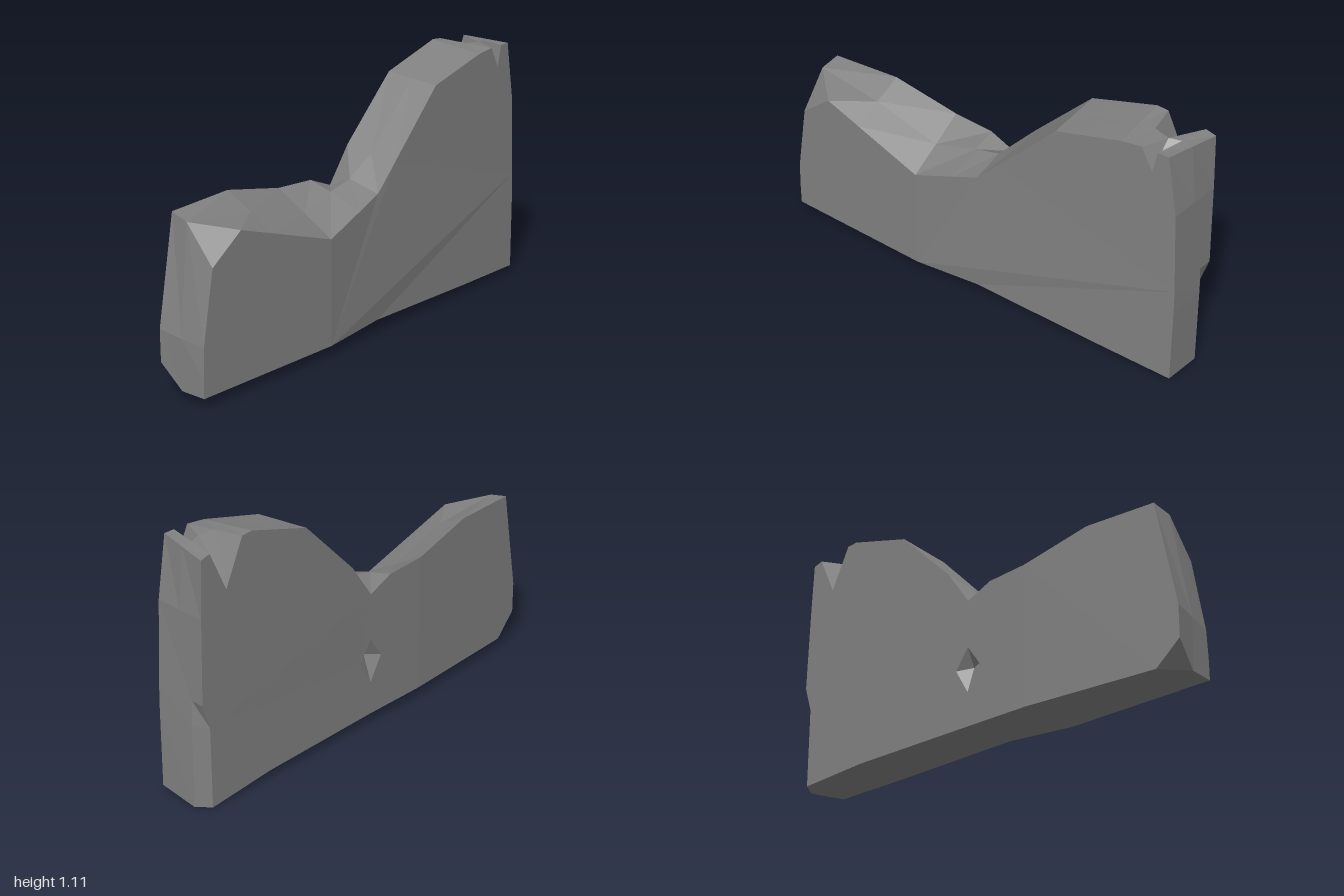
import * as THREE from 'three';

// Slight belly of the two broad faces: [x, z] breakpoints
const FRONT_Z = [[-1, 0.105], [-0.28, 0.142], [0.03, 0.126], [1, 0.117]];
const BACK_Z = [[-1, -0.11], [-0.28, -0.147], [0.14, -0.138], [1, -0.134]];

function depthAt(table, x) {
  const k = Math.max(1, table.findIndex((p) => x <= p[0]));
  const [x0, z0] = table[k - 1], [x1, z1] = table[k];
  return z0 + (z1 - z0) * (x - x0) / (x1 - x0);
}

const onFront = ([x, y]) => [x, y, depthAt(FRONT_Z, x)];
const onBack = ([x, y]) => [x, y, depthAt(BACK_Z, x)];

// One cut across the rim; the ridge lies halfway unless a chip moves it
function cut(frontXY, backXY = frontXY, ridge) {
  const front = onFront(frontXY), back = onBack(backXY);
  return [front, ridge ?? front.map((v, i) => (v + back[i]) / 2), back];
}

function meshFrom(name, triangles, material) {
  const geometry = new THREE.BufferGeometry();
  geometry.setAttribute('position', new THREE.Float32BufferAttribute(triangles.flat(2), 3));
  geometry.computeVertexNormals();
  const mesh = new THREE.Mesh(geometry, material);
  mesh.name = name;
  return mesh;
}

// Strips from front edge to ridge to back edge between neighbouring cuts
function rimTriangles(cuts) {
  const triangles = [];
  for (let i = 1; i < cuts.length; i++) {
    const a = cuts[i - 1], b = cuts[i];
    for (let k = 0; k < 2; k++) {
      triangles.push([a[k], b[k], b[k + 1]], [a[k], b[k + 1], a[k + 1]]);
    }
  }
  return triangles;
}

// Triangulate a broad face, turned to +z (side 1) or -z (side -1)
function faceTriangles(points, side, holes = []) {
  const flat = (p) => new THREE.Vector2(p[0], p[1]);
  const all = [...points, ...holes.flat()];
  return THREE.ShapeUtils.triangulateShape(points.map(flat), holes.map((h) => h.map(flat))).map((f) => {
    const [a, b, c] = f.map((i) => all[i]);
    const area = (b[0] - a[0]) * (c[1] - a[1]) - (b[1] - a[1]) * (c[0] - a[0]);
    return area * side >= 0 ? [a, b, c] : [a, c, b];
  });
}

export function createModel() {
  const group = new THREE.Group();
  group.name = 'brokenWall';
  const stone = new THREE.MeshStandardMaterial({ color: 0x808080 });
  stone.name = 'grey stone';
  stone.flatShading = true;

  // Low end, with a chip at its lower back and upper front corners
  const lowerChip = [-0.985, 0.04, -0.01];
  const upperChip = [-0.92, 0.72, -0.025];
  const lowEnd = [
    cut([-0.98, 0.04], [-0.89, 0.04], lowerChip),
    cut([-0.98, 0.12], [-1, 0.14], lowerChip),
    cut([-0.975, 0.25], [-1, 0.28]),
    cut([-0.92, 0.565], [-0.91, 0.74], upperChip),
    cut([-0.77, 0.68], [-0.91, 0.74], upperChip),
    cut([-0.6, 0.621], [-0.59, 0.74]),
  ];
  const bendTop = cut([-0.28, 0.51], [-0.28, 0.665]);

  // Saddle with a chip on its back edge, then the slope
  const slope = [
    cut([-0.09, 0.577], [-0.09, 0.652], [-0.09, 0.625, -0.03]),
    cut([0.03, 0.62], [0.03, 0.6], [0.03, 0.652, -0.03]),
    cut([0.14, 0.73], [0.14, 0.755]),
    cut([0.41, 1.005], [0.41, 1.02]),
  ];

  // Peak with a notch in both edges
  const peak = [
    cut([0.71, 1.08], [0.71, 1.105]),
    cut([0.8, 1.09], [0.76, 1.1]),
    cut([0.85, 0.995], [0.85, 0.91], [0.85, 1.09, 0.01]),
    cut([0.87, 1.09], [0.93, 1.083]),
    cut([0.92, 1.09], [0.975, 1.07]),
  ];

  // High end, its lower back corner broken away
  const highEnd = [
    cut([0.965, 0.83], [0.985, 0.83]),
    cut([0.985, 0.47], [0.995, 0.47], [0.99, 0.47, -0.07]),
    cut([0.988, 0.36], [0.96, 0.36], [0.995, 0.36, -0.07]),
    cut([0.99, 0.02], [0.96, 0.005], [1, 0, -0.07]),
  ];
  const base = [cut([0.64, 0.03]), cut([0.03, 0.055], [0.03, 0.04])];
  const bendBottom = cut([-0.28, 0.042]);

  // The wall folds along the bend: a low part and a high part
  const lowPart = [bendBottom, ...lowEnd, bendTop];
  const highPart = [bendTop, ...slope, ...peak, ...highEnd, ...base, bendBottom];
  group.add(meshFrom('lowRim', rimTriangles(lowPart), stone));
  group.add(meshFrom('highRim', rimTriangles(highPart), stone));

  // Diamond dent in the back: four facets sinking to a point
  const dent = [[0.03, 0.39], [0.095, 0.3], [0.03, 0.19], [-0.035, 0.3]].map(onBack);
  const pit = [0.03, 0.31, -0.1];
  group.add(meshFrom('backDent', dent.map((p, i) => [p, dent[(i + 1) % 4], pit]), stone));

  // Broad faces
  const edge = (cuts, row) => cuts.map((c) => c[row]);
  group.add(meshFrom('lowFrontFace', faceTriangles(edge(lowPart, 0), 1), stone));
  group.add(meshFrom('highFrontFace', faceTriangles(edge(highPart, 0), 1), stone));
  group.add(meshFrom('lowBackFace', faceTriangles(edge(lowPart, 2), -1), stone));
  group.add(meshFrom('highBackFace', faceTriangles(edge(highPart, 2), -1, [dent]), stone));
  return group;
}
